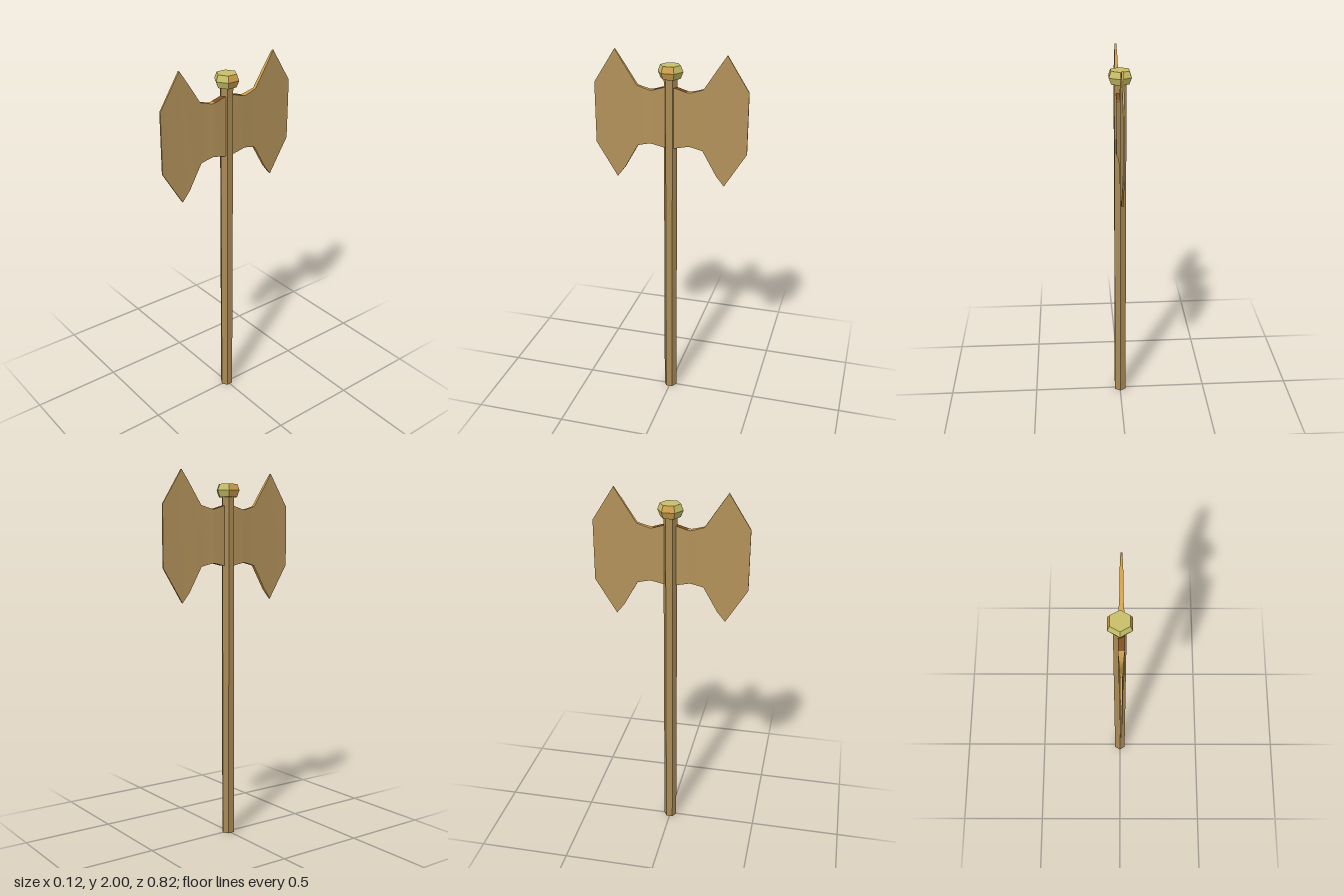
import * as THREE from 'three';

const mat = (name, color) => {
  const m = new THREE.MeshStandardMaterial({ color });
  m.name = name;
  return m;
};

export function createModel() {
  const wood = mat('handle bronze', 0xa98a54);
  const bronze = mat('blade bronze', 0xb3925a);
  const gold = mat('gold', 0xcfa04c);
  const olive = mat('pale olive gold', 0xc8c068);
  const brown = mat('dark brown', 0x80501f);

  const model = new THREE.Group();
  model.name = 'doubleAxe';
  const add = (name, geometry, material, parent = model) => {
    const mesh = new THREE.Mesh(geometry, material);
    mesh.name = name;
    parent.add(mesh);
    return mesh;
  };

  // Hexagonal prism with flat faces, corners towards +z and -z
  const hex = (rTop, rBottom, y0, y1) => {
    const g = new THREE.CylinderGeometry(rTop, rBottom, y1 - y0, 6).toNonIndexed();
    g.computeVertexNormals();
    g.translate(0, (y0 + y1) / 2, 0);
    return g;
  };

  // Handle with pale end caps
  add('handle', hex(0.036, 0.036, 0, 1.88), [wood, olive, olive]).position.x = -0.001;

  // Faceted knob: the two side facets are gold, the rest olive
  const knob = new THREE.Group();
  knob.name = 'knob';
  model.add(knob);
  const knobPart = (name, geometry) => {
    geometry.clearGroups();
    for (let i = 0; i < 6; i++) geometry.addGroup(i * 6, 6, i % 3 === 1 ? 0 : 1);
    geometry.addGroup(36, 36, 1);
    add(name, geometry, [gold, olive], knob);
  };
  knobPart('knobLower', hex(0.067, 0.053, 1.865, 1.9));
  knobPart('knobUpper', hex(0.067, 0.054, 1.9, 1.933));
  knob.children[1].geometry.dispose();
  knob.remove(knob.children[1]);
  knobPart('knobUpper', hex(0.054, 0.067, 1.9, 1.933));

  // Blade stations: distance from handle, top, bottom, half thickness
  const half = [
    [0.03, 1.82, 1.5, 0.016],
    [0.09, 1.802, 1.513, 0.016],
    [0.105, 1.8, 1.515, 0.0145],
    [0.135, 1.808, 1.508, 0.012],
    [0.175, 1.82, 1.497, 0.0095],
    [0.25, 1.935, 1.365, 0.0085],
    [0.293, 2.0, 1.31, 0.005],
    [0.408, 1.82, 1.495, 0.004],
  ];
  const stations = [
    ...half.map(([z, ...rest]) => [-z, ...rest]).reverse(),
    ...half,
  ];
  const bladeX = 0.006;
  const corner = ([z, top, bottom, h], k) => [
    bladeX + (k % 4 === 0 || k % 4 === 3 ? h : -h),
    k % 4 < 2 ? top : bottom,
    z,
  ];

  // One of the four long sides of the blade between the given stations
  const side = (list, k) => {
    const pos = [], index = [];
    list.forEach((s, j) => {
      pos.push(...corner(s, k), ...corner(s, k + 1));
      if (j) {
        const a = 2 * j - 2;
        index.push(a, a + 1, a + 3, a, a + 3, a + 2);
      }
    });
    const g = new THREE.BufferGeometry();
    g.setAttribute('position', new THREE.Float32BufferAttribute(pos, 3));
    g.setIndex(index);
    g.computeVertexNormals();
    return g;
  };

  const blade = new THREE.Group();
  blade.name = 'blade';
  model.add(blade);
  add('rightBladeFace', side(stations, 1), bronze, blade);
  add('leftBladeFace', side(stations, 3), bronze, blade);

  // Narrow rims: brown beside the handle, gold further out
  const n = stations.length;
  for (const [k, name] of [[0, 'topRim'], [2, 'bottomRim']]) {
    add(name + 'Back', side(stations.slice(0, n / 2 - 1), k), gold, blade);
    add(name + 'Socket', side(stations.slice(n / 2 - 2, n / 2 + 2), k), brown, blade);
    add(name + 'Front', side(stations.slice(n / 2 + 1), k), gold, blade);
  }

  // Flat cutting edges closing both ends
  for (const s of [1, -1]) {
    const [z, top, bottom, h] = half[half.length - 1];
    const g = new THREE.PlaneGeometry(2 * h, top - bottom);
    if (s < 0) g.rotateY(Math.PI);
    g.translate(bladeX, (top + bottom) / 2, s * z);
    add(s > 0 ? 'frontCuttingEdge' : 'backCuttingEdge', g, bronze, blade);
  }
  return model;
}
